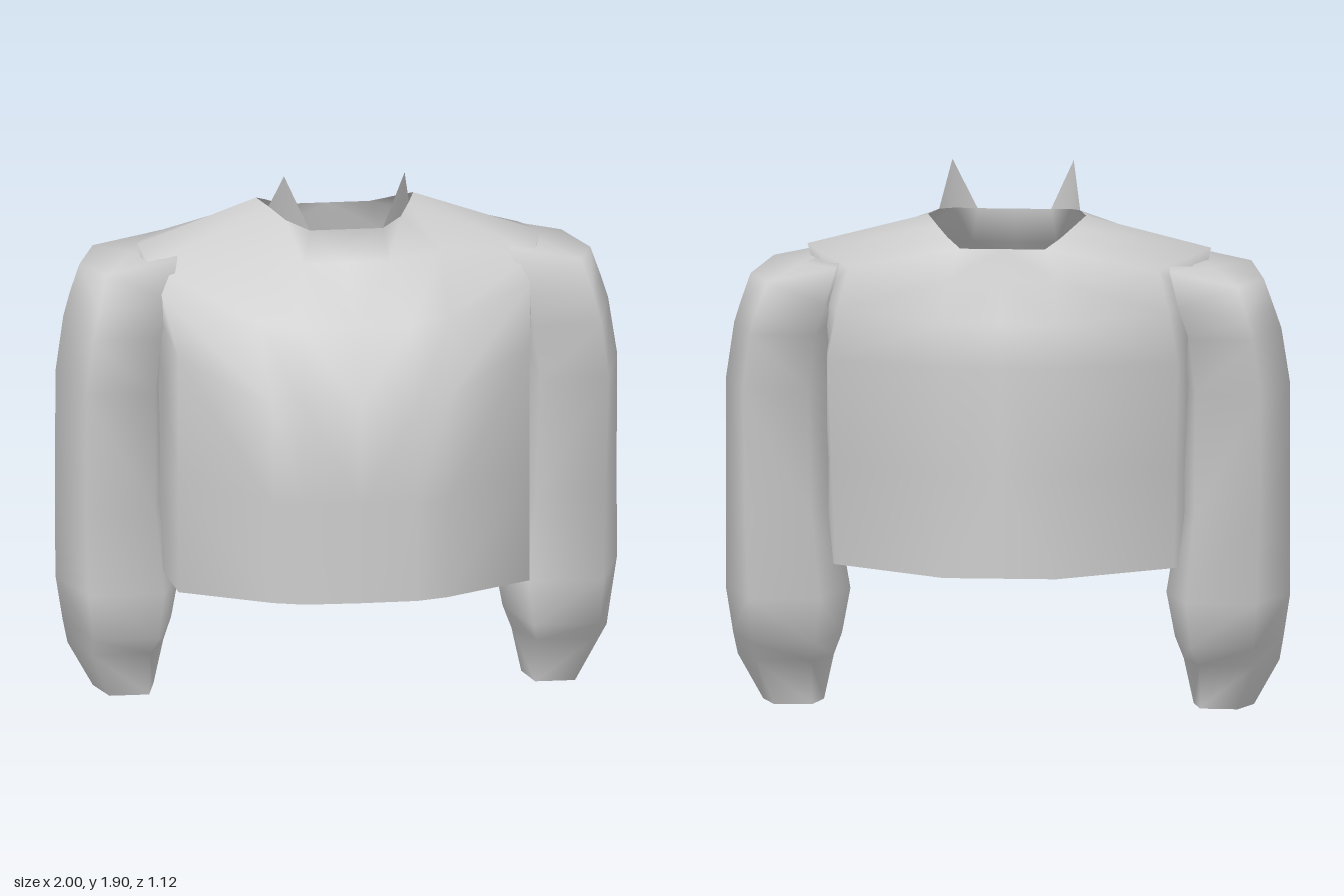
import * as THREE from 'three';

// Skin a stack of closed rings (bottom to top, each running front -> +x -> back -> -x).
// Quads split symmetrically about x = 0; an optional cap blends smoothly into the top ring.
function loft(rings, capTop) {
  const n = rings[0].length, pos = rings.flat(2), index = [];
  for (let r = 0; r < rings.length - 1; r++) {
    for (let i = 0; i < n; i++) {
      const j = (i + 1) % n, a = r * n + i, b = r * n + j;
      if (i < n / 2) index.push(a, b, b + n, a, b + n, a + n);
      else index.push(a, b, a + n, b, b + n, a + n);
    }
  }
  if (capTop) {
    const top = rings[rings.length - 1], base = (rings.length - 1) * n, mid = pos.length / 3;
    pos.push(...[0, 1, 2].map(k => top.reduce((s, p) => s + p[k], 0) / n));
    for (let i = 0; i < n; i++) index.push(mid, base + i, base + (i + 1) % n);
  }
  return surface(pos, index);
}

function surface(pos, index) {
  const geo = new THREE.BufferGeometry();
  geo.setAttribute('position', new THREE.Float32BufferAttribute(pos, 3));
  geo.setIndex(index);
  geo.computeVertexNormals();
  return geo;
}

// Complete a half ring (front centre -> back centre) with its mirror image
const mirrorRing = half => [
  ...half,
  ...half.slice(1, -1).reverse().map(([x, y, z]) => [-x, y, z]),
];

// Body cross-section below the chest; the back corner flares out with height
const bodyRing = (yFront, ySide, yBack, cornerX, cornerZ) => [
  [0, yFront, 0.56], [0.2, yFront, 0.555], [0.31, yFront, 0.52], [0.625, ySide, 0.34],
  [0.65, yFront + 0.01, 0.08], [0.645, yBack, -0.15], [cornerX, yBack + 0.01, cornerZ],
  [0.2, yBack, -0.56], [0, yBack, -0.56],
];

const bodyRows = [
  // hem, waist, underarm
  bodyRing(0.47, 0.47, 0.5, 0.6, -0.33),
  bodyRing(0.83, 0.88, 0.87, 0.61, -0.39),
  bodyRing(1.19, 1.33, 1.25, 0.62, -0.44),
  // chest
  [[0, 1.44, 0.4], [0.2, 1.44, 0.4], [0.34, 1.45, 0.35], [0.655, 1.49, 0.11], [0.68, 1.46, -0.03],
    [0.66, 1.45, -0.24], [0.59, 1.43, -0.42], [0.2, 1.4, -0.515], [0, 1.4, -0.515]],
  // shoulders
  [[0, 1.6, 0.13], [0.15, 1.6, 0.13], [0.34, 1.62, 0.09], [0.685, 1.58, 0.01], [0.715, 1.625, -0.12],
    [0.66, 1.615, -0.27], [0.55, 1.58, -0.38], [0.19, 1.55, -0.47], [0, 1.55, -0.47]],
  // neckline
  [[0, 1.72, 0.12], [0.13, 1.72, 0.12], [0.205, 1.735, 0.03], [0.25, 1.75, -0.1], [0.28, 1.75, -0.22],
    [0.24, 1.72, -0.3], [0.2, 1.69, -0.37], [0.15, 1.66, -0.44], [0, 1.66, -0.44]],
];

// Sleeve sections, six-sided: y, inner x, outer x, back z, front z, inward tilt, inner corner position
const sleeveRows = [
  [0, 0.655, 0.87, -0.28, 0, 0, -0.7],
  [0.16, 0.62, 0.96, -0.31, 0.03, 0, -0.6],
  [0.24, 0.59, 0.975, -0.435, 0.125, 0, -0.6],
  [0.4, 0.56, 1, -0.435, 0.115, 0, -0.6],
  [0.7, 0.61, 1, -0.44, 0.1, 0, -0.65],
  [1.15, 0.63, 1, -0.47, 0.155, 0, -0.7],
  [1.35, 0.63, 0.97, -0.49, 0.15, 0, -0.8],
  [1.45, 0.61, 0.945, -0.5, 0.12, 0.02, -0.9],
  [1.565, 0.575, 0.91, -0.44, 0.04, 0.035, -0.9],
];

function sleeveGeometry(side) {
  const rings = sleeveRows.map(([y, x0, x1, z0, z1, tilt, inner]) => {
    const plan = [[inner, 1], [0.62, 1], [1, -0.05], [0.55, -1], [inner, -0.95], [-1, 0]];
    const ring = plan.map(([u, v]) => [
      side * ((x0 + x1) / 2 + u * (x1 - x0) / 2),
      y - u * tilt + v * tilt * 0.4,
      (z0 + z1) / 2 + v * (z1 - z0) / 2,
    ]);
    return side > 0 ? ring : ring.reverse();
  });
  return loft(rings, true);
}

// Pointed collar flap standing on the neckline
const collarGeometry = s => surface([
  s * 0.13, 1.72, 0.12, s * 0.205, 1.735, 0.03, s * 0.25, 1.75, -0.1, s * 0.215, 1.905, 0.06,
], s > 0 ? [0, 1, 3, 1, 2, 3] : [1, 0, 3, 2, 1, 3]);

export function createModel() {
  const group = new THREE.Group();
  const cloth = new THREE.MeshStandardMaterial({ color: 0xcccccc, side: THREE.DoubleSide });
  cloth.name = 'grey cloth';
  const add = (name, geo) => {
    const mesh = new THREE.Mesh(geo, cloth);
    mesh.name = name;
    group.add(mesh);
  };

  // Body, open at hem and neck
  add('body', loft(bodyRows.map(mirrorRing), false));

  // Sleeves, open at the wrist, and collar flaps
  for (const [name, side] of [['left', 1], ['right', -1]]) {
    add(name + 'Sleeve', sleeveGeometry(side));
    add(name + 'Collar', collarGeometry(side));
  }
  return group;
}
